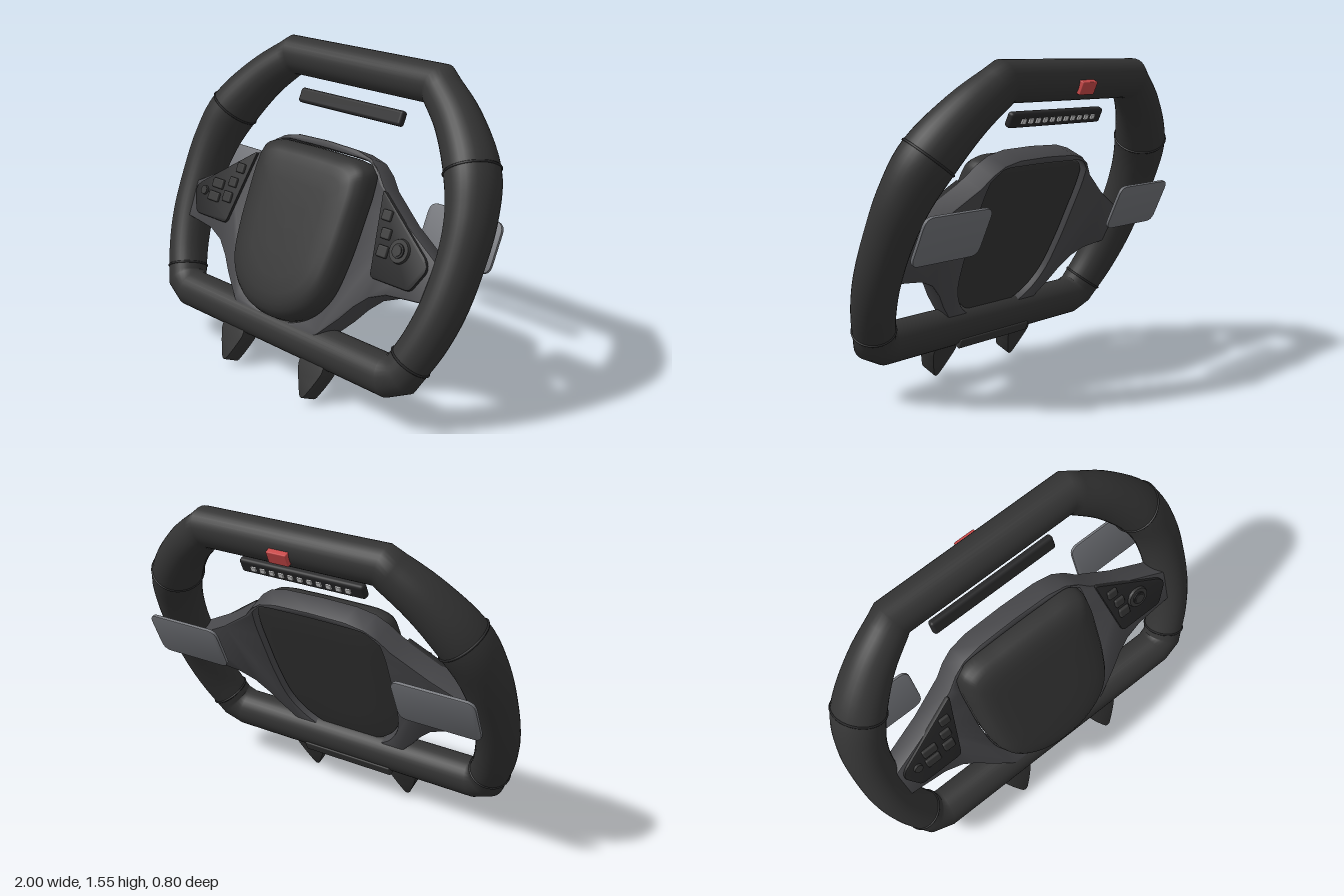
import * as THREE from 'three';
import { toCreasedNormals } from 'three/addons/utils/BufferGeometryUtils.js';
import { RoundedBoxGeometry } from 'three/addons/geometries/RoundedBoxGeometry.js';

const mat = (color) => new THREE.MeshStandardMaterial({ color });
const leather = mat(0x333333), frame = mat(0x47474a), panel = mat(0x262627),
  metal = mat(0x707277), red = mat(0xc84848), light = mat(0xd8d8d8);
const V2 = (x, y) => new THREE.Vector2(x, y);

function add(parent, name, geometry, material, x = 0, y = 0, z = 0) {
  const mesh = new THREE.Mesh(geometry, material);
  mesh.name = name;
  mesh.position.set(x, y, z);
  parent.add(mesh);
  return mesh;
}

// Skin a series of equal-length closed rings of Vector3
function loft(rings, closed) {
  const n = rings[0].length, m = rings.length, index = [];
  for (let i = 0; i < (closed ? m : m - 1); i++) {
    for (let j = 0; j < n; j++) {
      const k = (i + 1) % m, l = (j + 1) % n;
      const a = i * n + j, b = k * n + j, c = i * n + l, d = k * n + l;
      index.push(a, b, c, b, d, c);
    }
  }
  const g = new THREE.BufferGeometry().setFromPoints(rings.flat());
  g.setIndex(index);
  g.computeVertexNormals();
  return g;
}

// Flat part with softened edges, between depths z0 and z1
function slab(shape, z0, z1, bevel) {
  const g = new THREE.ExtrudeGeometry(shape, {
    depth: z1 - z0 - 2 * bevel, bevelThickness: bevel, bevelSize: bevel,
    bevelOffset: -bevel, bevelSegments: 2, curveSegments: 8,
  });
  g.translate(0, 0, z0 + bevel);
  return toCreasedNormals(g, 0.6);
}

// Polygon with rounded corners
function roundedShape(points, r) {
  const s = new THREE.Shape(), n = points.length;
  points.forEach((p, i) => {
    const toward = (q) => p.clone().add(q.clone().sub(p).setLength(r));
    const a = toward(points[(i + n - 1) % n]), b = toward(points[(i + 1) % n]);
    if (i) s.lineTo(a.x, a.y); else s.moveTo(a.x, a.y);
    s.quadraticCurveTo(p.x, p.y, b.x, b.y);
  });
  s.closePath();
  return s;
}

// Mirror a right half (bottom to top) into a full counter-clockwise outline
const mirrored = (half) => [...half, ...half.slice().reverse()
  .filter((p) => Math.abs(p.x) > 1e-6).map((p) => { const q = p.clone(); q.x = -q.x; return q; })];

function buildRim(wheel) {
  // Right side centre line: x, y, tube radius
  const side = new THREE.CatmullRomCurve3([
    [0.77, 0.035, 0.097], [0.84, 0.2, 0.1], [0.883, 0.376, 0.102], [0.895, 0.595, 0.105],
    [0.877, 0.782, 0.114], [0.815, 0.963, 0.125], [0.66, 1.166, 0.111], [0.48, 1.319, 0.096],
  ].map((p) => new THREE.Vector3(...p)));
  const steps = 36;
  const half = [new THREE.Vector4(0.7, 0, 0.096, 0.096)];
  for (let i = 0; i <= steps; i++) {
    const p = side.getPoint(i / steps);
    half.push(new THREE.Vector4(p.x, p.y, p.z, p.z * (1 + 0.1 * Math.sin(Math.PI * i / steps))));
  }
  const path = mirrored(half), n = path.length;
  const rings = path.map((p, i) => {
    const q = path[(i + n - 1) % n], r = path[(i + 1) % n];
    const d0 = V2(p.x - q.x, p.y - q.y).normalize(), d1 = V2(r.x - p.x, r.y - p.y).normalize();
    const t = d0.clone().add(d1).normalize(), miter = p.z / t.dot(d1);
    return Array.from({ length: 32 }, (_, j) => {
      const a = j / 32 * Math.PI * 2, c = Math.cos(a) * miter;
      return new THREE.Vector3(p.x + t.y * c, p.y - t.x * c, Math.sin(a) * p.w);
    });
  });
  add(wheel, 'rim', loft(rings, true), leather);

  // Raised stitching bands around the grips
  for (const i of [3, 27]) {
    for (const k of [i, n - 1 - i]) {
      const curve = new THREE.CatmullRomCurve3(rings[k], true);
      add(wheel, 'gripSeam', new THREE.TubeGeometry(curve, 64, 0.006, 6, true), panel);
    }
  }
}

function buildHub(wheel) {
  // Outline shared by the centre pad and the opening around it
  const curve = new THREE.CatmullRomCurve3(mirrored([
    [0, 0.045], [0.13, 0.065], [0.25, 0.135], [0.325, 0.245], [0.358, 0.42], [0.367, 0.6],
    [0.368, 0.77], [0.35, 0.85], [0.29, 0.882], [0.15, 0.89], [0, 0.892],
  ].map(([x, y]) => new THREE.Vector3(x, y, 0))), true);
  const outline = curve.getPoints(96).slice(0, 96), mid = 0.47;
  const ring = ([z, s]) => outline.map((p) => new THREE.Vector3(p.x * s, mid + (p.y - mid) * s, z));

  const pad = loft([[0.2, 0], [0.2, 0.3], [0.199, 0.55], [0.196, 0.73], [0.188, 0.84], [0.173, 0.91],
    [0.15, 0.96], [0.12, 0.988], [0.085, 1], [0.0, 0.985], [-0.01, 0.97], [-0.012, 0.6], [-0.012, 0]].map(ring));
  add(wheel, 'centrePad', pad, leather);

  // Spoke frame with the opening for the pad
  const edge = mirrored([
    [0, -0.03], [0.2, -0.02], [0.3, 0.055], [0.4, 0.16], [0.46, 0.235], [0.53, 0.3], [0.62, 0.338], [0.72, 0.35],
    [0.815, 0.36], [0.83, 0.55], [0.6, 0.675], [0.42, 0.8], [0.365, 0.86], [0.3, 0.905], [0.2, 0.928], [0, 0.934],
  ].map((p) => V2(...p)));
  const shape = new THREE.Shape(edge);
  shape.holes.push(new THREE.Path(outline.map((p) => V2(p.x * 1.012, mid + (p.y - mid) * 1.012)).reverse()));
  add(wheel, 'spokeFrame', slab(shape, -0.035, 0.085, 0.008), frame);
}

function buildControls(wheel) {
  const corners = [[0.51, 0.39], [0.75, 0.39], [0.81, 0.5], [0.79, 0.545], [0.435, 0.79]];
  for (const s of [-1, 1]) {
    const group = new THREE.Group();
    group.name = s > 0 ? 'leftControls' : 'rightControls';
    wheel.add(group);
    const pts = corners.map(([x, y]) => V2(s * x, y));
    if (s < 0) pts.reverse();
    add(group, 'controlPanel', slab(roundedShape(pts, 0.025), 0.07, 0.1, 0.006), panel);

    const keys = [[0.51, 0.68, 0.055, 0.05], [0.535, 0.6, 0.055, 0.05], [0.545, 0.52, 0.06, 0.055]];
    if (s < 0) keys.push([0.64, 0.57, 0.08, 0.05], [0.645, 0.5, 0.08, 0.05]);
    for (const [x, y, w, h] of keys) {
      add(group, 'button', new RoundedBoxGeometry(w, h, 0.024, 2, 0.008), leather, s * x, y, 0.103);
    }
    // Round control: dial with a raised centre, or a small push button
    const dial = (name, r, h, m) => {
      const x = s > 0 ? 0.638 : 0.728, y = s > 0 ? 0.545 : 0.515;
      add(group, name, new THREE.CylinderGeometry(r * 0.92, r, h, 32), m, s * x, y, 0.097 + h / 2)
        .rotation.x = Math.PI / 2;
    };
    dial('roundButton', s > 0 ? 0.058 : 0.024, 0.016, leather);
    if (s > 0) { dial('dialRing', 0.036, 0.022, panel); dial('dialCentre', 0.026, 0.026, leather); }
  }
}

function buildAccessories(wheel) {
  for (const s of [-1, 1]) {
    // Thin paddle behind each spoke
    const x0 = s * 0.715, w = 0.215, y0 = 0.557, y1 = 0.8;
    const paddle = roundedShape([V2(x0 - w, y0), V2(x0 + w, y0), V2(x0 + w, y1), V2(x0 - w, y1)], 0.05);
    add(wheel, 'paddle', slab(paddle, -0.192, -0.175, 0.004), metal);

    // Tapered foot below the bottom bar
    const foot = new THREE.Shape();
    foot.moveTo(-0.08, 0);
    foot.lineTo(-0.08, -0.115);
    foot.quadraticCurveTo(-0.055, -0.18, -0.018, -0.245);
    foot.quadraticCurveTo(0, -0.27, 0.018, -0.245);
    foot.quadraticCurveTo(0.055, -0.18, 0.08, -0.115);
    foot.lineTo(0.08, 0);
    add(wheel, 'foot', slab(foot, -0.048, 0.045, 0.004), leather, s * 0.285);
  }

  // Slim insert along the back of the bottom bar
  add(wheel, 'bottomInsert', new RoundedBoxGeometry(0.52, 0.05, 0.05, 2, 0.006), leather, 0, -0.04, -0.079);

  // Light bar with a row of lamps on its back
  add(wheel, 'lightBar', new RoundedBoxGeometry(0.695, 0.075, 0.04, 3, 0.015), panel, 0, 1.125, 0.005);
  for (let i = 0; i < 11; i++) {
    add(wheel, 'lamp', new THREE.BoxGeometry(0.028, 0.024, 0.012), light, (i - 5) * 0.053, 1.125, -0.017);
  }

  // Marker on the back of the top bar
  add(wheel, 'topMarker', new RoundedBoxGeometry(0.11, 0.065, 0.04, 2, 0.005), red, 0, 1.326, -0.094);
}

export function createModel() {
  const model = new THREE.Group();
  model.name = 'steeringWheel';
  const wheel = new THREE.Group();
  wheel.name = 'tiltedWheel';
  wheel.position.set(0, 0.257, 0.26);
  wheel.rotation.x = -0.422;
  model.add(wheel);
  buildRim(wheel);
  buildHub(wheel);
  buildControls(wheel);
  buildAccessories(wheel);
  return model;
}
